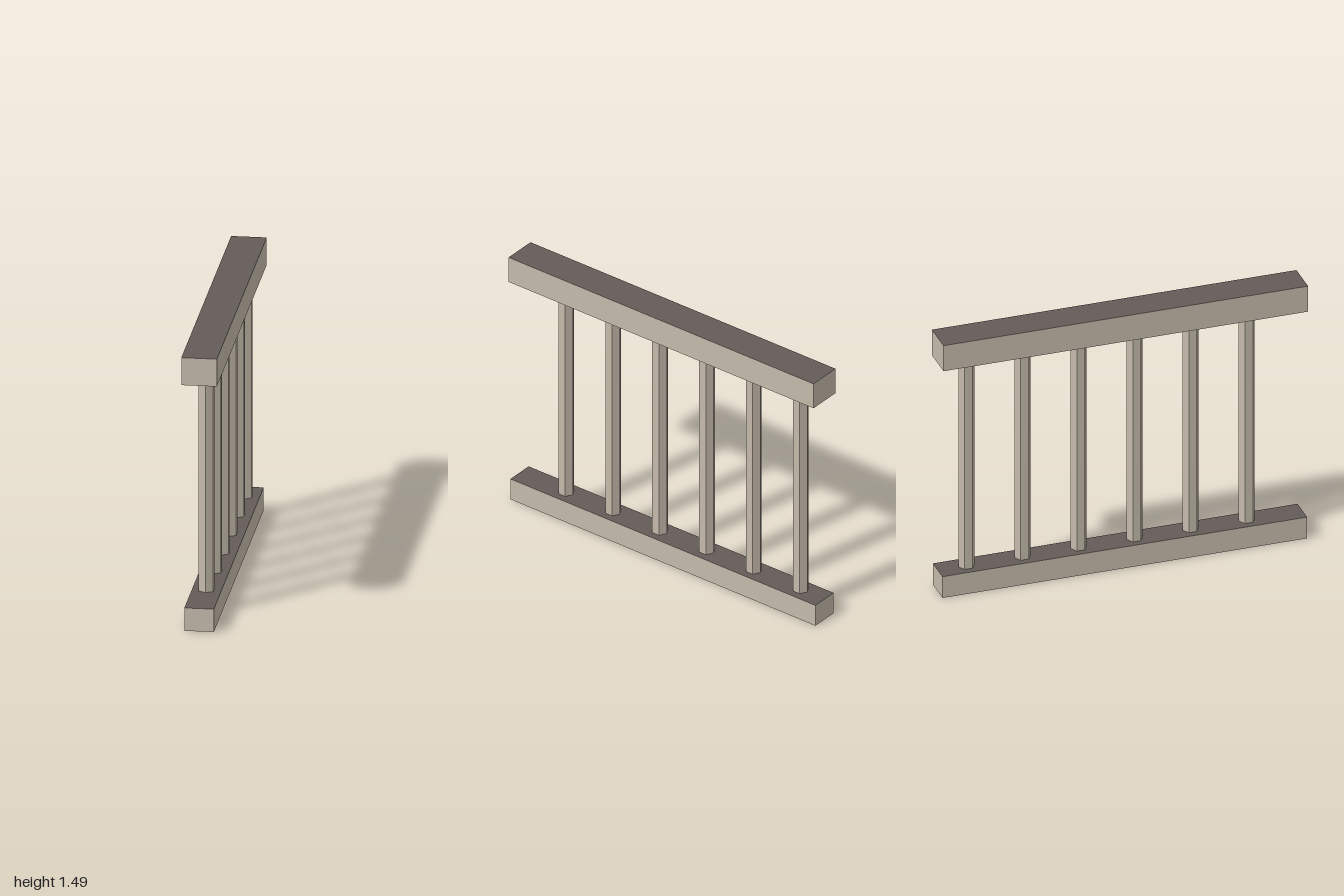
import * as THREE from 'three';

export function createModel() {
  const mat = (name, color) => Object.assign(new THREE.MeshStandardMaterial({ color, flatShading: true }), { name });
  const rail = mat('stone', 0xc4bbab);
  const post = mat('warmStone', 0xc5baab);
  const top = mat('darkTop', 0x635c58);

  const model = new THREE.Group();
  model.name = 'railing';

  // Long beams with a dark upper face
  function addRail(name, width, y0, y1) {
    const geometry = new THREE.BoxGeometry(width, y1 - y0, 2);
    const mesh = new THREE.Mesh(geometry, [rail, rail, top, rail, rail, rail]);
    mesh.name = name;
    mesh.position.y = (y0 + y1) / 2;
    model.add(mesh);
  }
  addRail('bottomRail', 0.154, 0, 0.125);
  addRail('topRail', 0.186, 1.343, 1.493);

  // Hexagonal balusters, one corner facing the front
  const height = 1.343 - 0.125;
  const balusterGeometry = new THREE.CylinderGeometry(0.044, 0.044, height, 6, 1, true);
  for (let i = 0; i < 6; i++) {
    const baluster = new THREE.Mesh(balusterGeometry, post);
    baluster.name = `baluster${i + 1}`;
    baluster.position.set(-0.001, 0.125 + height / 2, 0.694 - i * 0.3075);
    model.add(baluster);
  }
  return model;
}
